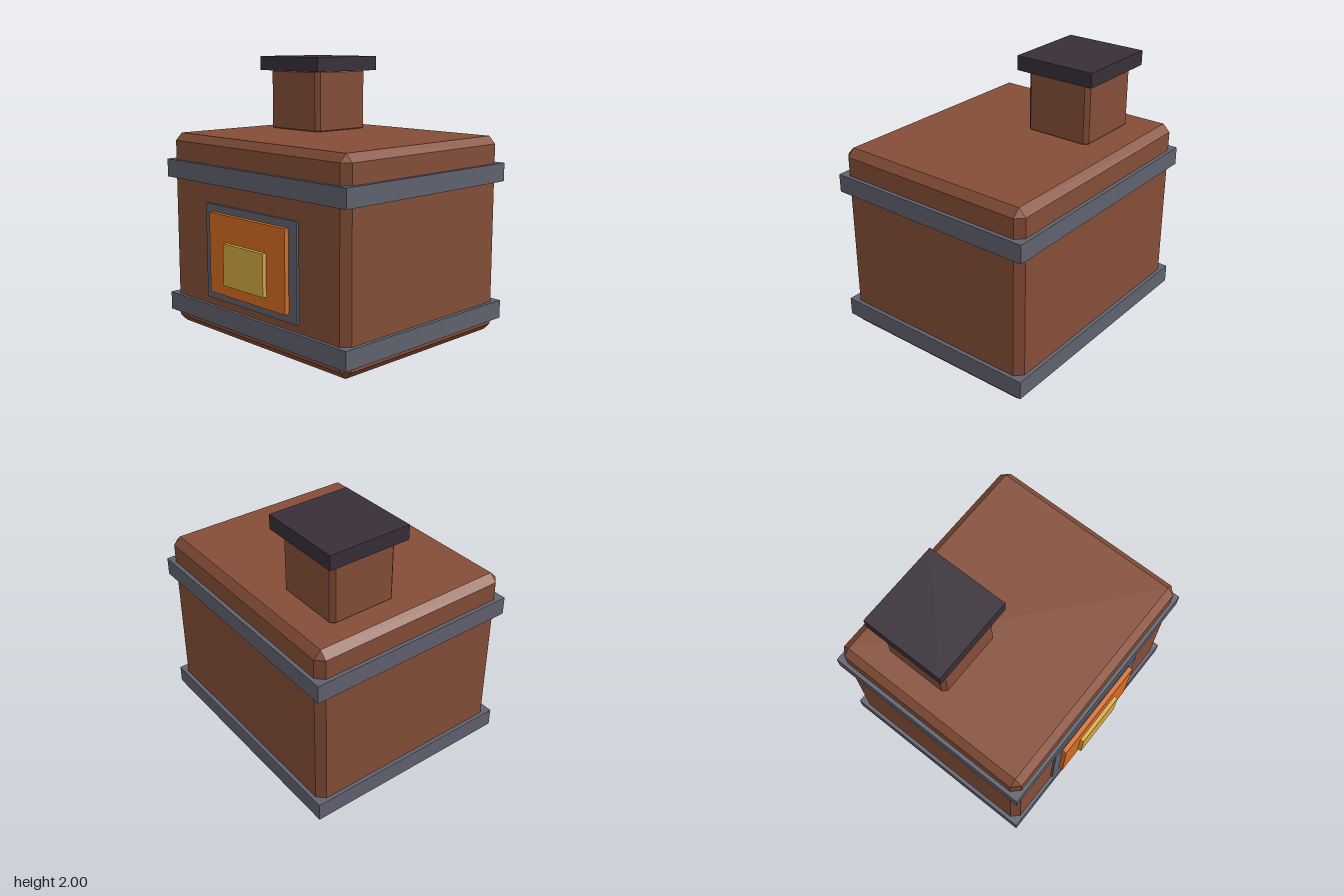
import * as THREE from 'three';
import { ConvexGeometry } from 'three/addons/geometries/ConvexGeometry.js';

const mat = (name, color) => {
  const m = new THREE.MeshStandardMaterial({ color });
  m.name = name;
  return m;
};

// Box with every edge cut at 45 degrees
function chamferedBox(w, h, d, c) {
  const points = [];
  for (const sx of [-1, 1]) for (const sy of [-1, 1]) for (const sz of [-1, 1]) {
    for (let axis = 0; axis < 3; axis++) {
      const inset = [c, c, c];
      inset[axis] = 0;
      points.push(new THREE.Vector3(
        sx * (w / 2 - inset[0]), sy * (h / 2 - inset[1]), sz * (d / 2 - inset[2])));
    }
  }
  return new ConvexGeometry(points);
}

export function createModel() {
  const group = new THREE.Group();
  group.name = 'stove';
  const brick = mat('brick brown', 0x854e38);
  const iron = mat('iron grey', 0x60626f);
  const soot = mat('dark soot', 0x382f38);
  const fire = mat('fire orange', 0xd66d22);
  const glow = mat('glow yellow', 0xd4aa40);

  // Adds a block given its extents; a chamfer is optional
  function block(name, material, [x0, x1], [y0, y1], [z0, z1], chamfer = 0) {
    const size = [x1 - x0, y1 - y0, z1 - z0];
    const geometry = chamfer ? chamferedBox(...size, chamfer) : new THREE.BoxGeometry(...size);
    const mesh = new THREE.Mesh(geometry, material);
    mesh.name = name;
    mesh.position.set((x0 + x1) / 2, (y0 + y1) / 2, (z0 + z1) / 2);
    group.add(mesh);
  }

  // Main body and its two iron bands
  block('body', brick, [-0.917, 0.917], [0, 1.445], [-0.807, 0.755], 0.054);
  block('lowerBand', iron, [-0.945, 0.945], [0.088, 0.222], [-0.835, 0.78]);
  block('upperBand', iron, [-0.945, 0.945], [1.115, 1.249], [-0.835, 0.78]);

  // Chimney and cap
  block('chimney', brick, [-0.701, -0.164], [1.422, 1.915], [-0.543, -0.026], 0.03);
  block('chimneyCap', soot, [-0.755, -0.111], [1.893, 2], [-0.598, 0.025]);

  // Firebox: frame, fire and glowing core
  block('fireboxFrame', iron, [-0.485, 0.485], [0.28, 0.974], [0.72, 0.772]);
  block('fire', fire, [-0.404, 0.404], [0.339, 0.92], [0.75, 0.805]);
  block('fireCore', glow, [-0.214, 0.214], [0.424, 0.726], [0.78, 0.835]);

  return group;
}
